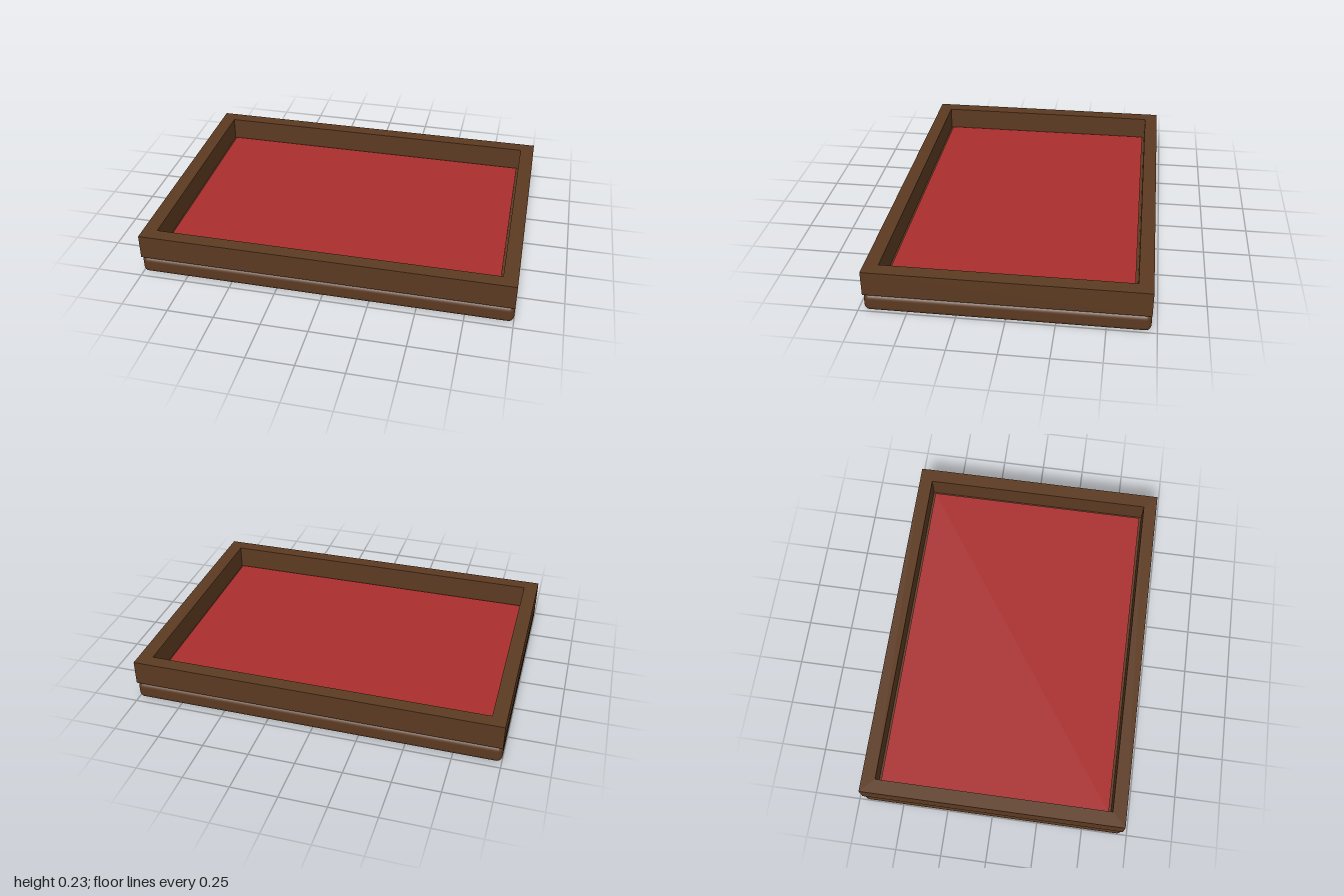
import * as THREE from 'three';
import { RoundedBoxGeometry } from 'three/addons/geometries/RoundedBoxGeometry.js';

export function createModel() {
  const model = new THREE.Group();
  model.name = 'tray';

  const wood = new THREE.MeshStandardMaterial({ color: 0x5c3a21 });
  wood.name = 'dark wood';
  const felt = new THREE.MeshStandardMaterial({ color: 0xaa2e2e });
  felt.name = 'red felt';

  const add = (name, geometry, material, y) => {
    const mesh = new THREE.Mesh(geometry, material);
    mesh.name = name;
    mesh.position.y = y;
    model.add(mesh);
  };

  const width = 2, depth = 1.44, baseHeight = 0.1, rimHeight = 0.135;
  const innerWidth = 1.845, innerDepth = 1.29;

  const rectangle = (Type, w, d) => {
    const path = new Type();
    path.moveTo(-w / 2, -d / 2);
    path.lineTo(w / 2, -d / 2);
    path.lineTo(w / 2, d / 2);
    path.lineTo(-w / 2, d / 2);
    path.closePath();
    return path;
  };

  // Rounded base slab
  add('base', new RoundedBoxGeometry(width, baseHeight, depth, 4, 0.03), wood, baseHeight / 2);

  // Square-edged rim with a rectangular opening
  const outline = rectangle(THREE.Shape, width, depth);
  outline.holes.push(rectangle(THREE.Path, innerWidth, innerDepth));
  const rim = new THREE.ExtrudeGeometry(outline, { depth: rimHeight, bevelEnabled: false });
  rim.rotateX(-Math.PI / 2);
  add('rim', rim, wood, baseHeight);

  // Felt lining, with a narrow gap to the rim
  add('feltLining', new THREE.BoxGeometry(1.82, 0.012, 1.265), felt, baseHeight + 0.006);

  return model;
}
